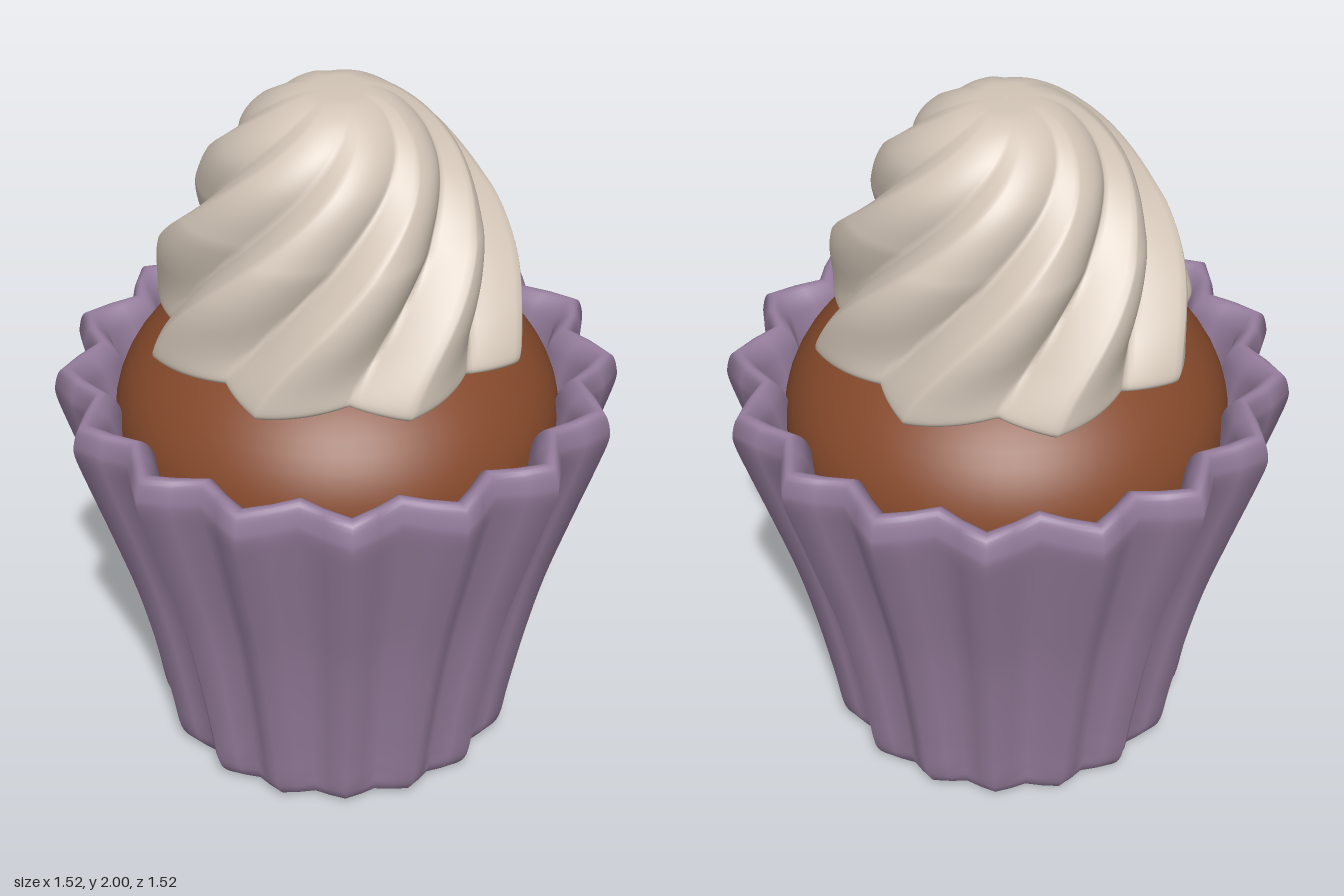
import * as THREE from 'three';

const TAU = Math.PI * 2;

// Closed surface around y: profile points (radius, height), shaped by place(angle, point)
function ringSurface(profile, segments, place) {
  const pos = [], index = [];
  profile.forEach((p) => {
    for (let i = 0; i < segments; i++) {
      const [r, y, a] = place((i / segments) * TAU, p);
      pos.push(r * Math.cos(a), y, r * Math.sin(a));
    }
  });
  for (let j = 0; j < profile.length - 1; j++) {
    for (let i = 0; i < segments; i++) {
      const n = (i + 1) % segments;
      const a = j * segments + i, b = a + segments, c = j * segments + n, d = c + segments;
      index.push(a, b, c, b, d, c);
    }
  }
  const geo = new THREE.BufferGeometry();
  geo.setAttribute('position', new THREE.Float32BufferAttribute(pos, 3));
  geo.setIndex(index);
  geo.computeVertexNormals();
  return geo;
}

const spline = (pts, n) =>
  new THREE.SplineCurve(pts.map(([x, y]) => new THREE.Vector2(x, y))).getPoints(n);

const material = (name, color) => {
  const m = new THREE.MeshStandardMaterial({ color });
  m.name = name;
  return m;
};

// Pleated paper case: sixteen zigzag flutes, broad rounded rim and a short inner wall
function caseGeometry() {
  const wall = spline([
    [0.435, 0.006], [0.46, 0.022], [0.492, 0.075], [0.515, 0.2], [0.555, 0.4], [0.603, 0.6],
    [0.665, 0.8], [0.73, 1.0], [0.757, 1.09], [0.758, 1.13], [0.744, 1.172],
    [0.715, 1.178], [0.68, 1.145], [0.66, 1.09], [0.64, 1.0], [0.58, 0.75],
  ], 60);
  const profile = [
    new THREE.Vector2(0.001, 0), new THREE.Vector2(0.42, 0),
    ...wall, new THREE.Vector2(0.001, 0.74),
  ];
  return ringSurface(profile, 16 * 4, (a, p) => {
    const valley = 1 - Math.abs(1 - 2 * (((a / TAU) * 16) % 1)); // 0 on a tip, 1 in a valley
    // pleats flatten out into the base
    const depth = 0.114 * THREE.MathUtils.lerp(0.5, 1, Math.min(1, p.y / 0.08));
    return [p.x * (1 - depth * valley), p.y, a - 0.077];
  });
}

// Eight-lobed piped swirl that twists towards its peak
function frostingGeometry() {
  const side = spline([
    [0.505, 1.302], [0.517, 1.325], [0.505, 1.4], [0.482, 1.5], [0.46, 1.57], [0.425, 1.65],
    [0.395, 1.7], [0.335, 1.8], [0.29, 1.86], [0.23, 1.92], [0.16, 1.97],
    [0.1, 1.994], [0.05, 1.999], [0.001, 2.0],
  ], 70);
  const profile = [
    new THREE.Vector2(0.001, 1.31), new THREE.Vector2(0.4, 1.305),
    new THREE.Vector2(0.485, 1.3), ...side,
  ];
  return ringSurface(profile, 8 * 24, (a, p) => {
    const h = THREE.MathUtils.clamp((p.y - 1.3) / 0.7, 0, 1);
    const steep = 0.38 - 0.12 * Math.min(1, h * 2);
    const s = ((a / TAU) * 8) % 1;
    // steep drop behind each ridge, then a curve up to the next; pointed at the base
    const rise = (s - steep) / (1 - steep);
    const lobe = s < steep
      ? 1 - s / steep
      : THREE.MathUtils.lerp(rise, Math.sin(rise * Math.PI / 2), Math.min(0.85, 0.3 + h * 2));
    const depth = (0.14 + 0.12 * Math.sin(Math.PI * h)) * (1 - 0.6 * h * h);
    const twist = THREE.MathUtils.degToRad(22.5 - 95 * Math.pow(h, 1.5));
    const lift = 0.02 * (1 - lobe) * Math.max(0, 1 - h * 5);
    return [p.x * (1 - depth * (1 - lobe)), p.y + lift, a + twist];
  });
}

export function createModel() {
  const group = new THREE.Group();
  group.name = 'cupcake';
  const add = (name, geometry, mat) => {
    const mesh = new THREE.Mesh(geometry, mat);
    mesh.name = name;
    group.add(mesh);
    return mesh;
  };

  add('paperCase', caseGeometry(), material('mauve paper', 0x957d9c));

  // Domed sponge
  const cake = add('cake', new THREE.SphereGeometry(0.6, 64, 32), material('brown sponge', 0x85492b));
  cake.scale.y = 0.4 / 0.6;
  cake.position.y = 1.04;

  add('frosting', frostingGeometry(), material('cream frosting', 0xd2c5b7));
  return group;
}
